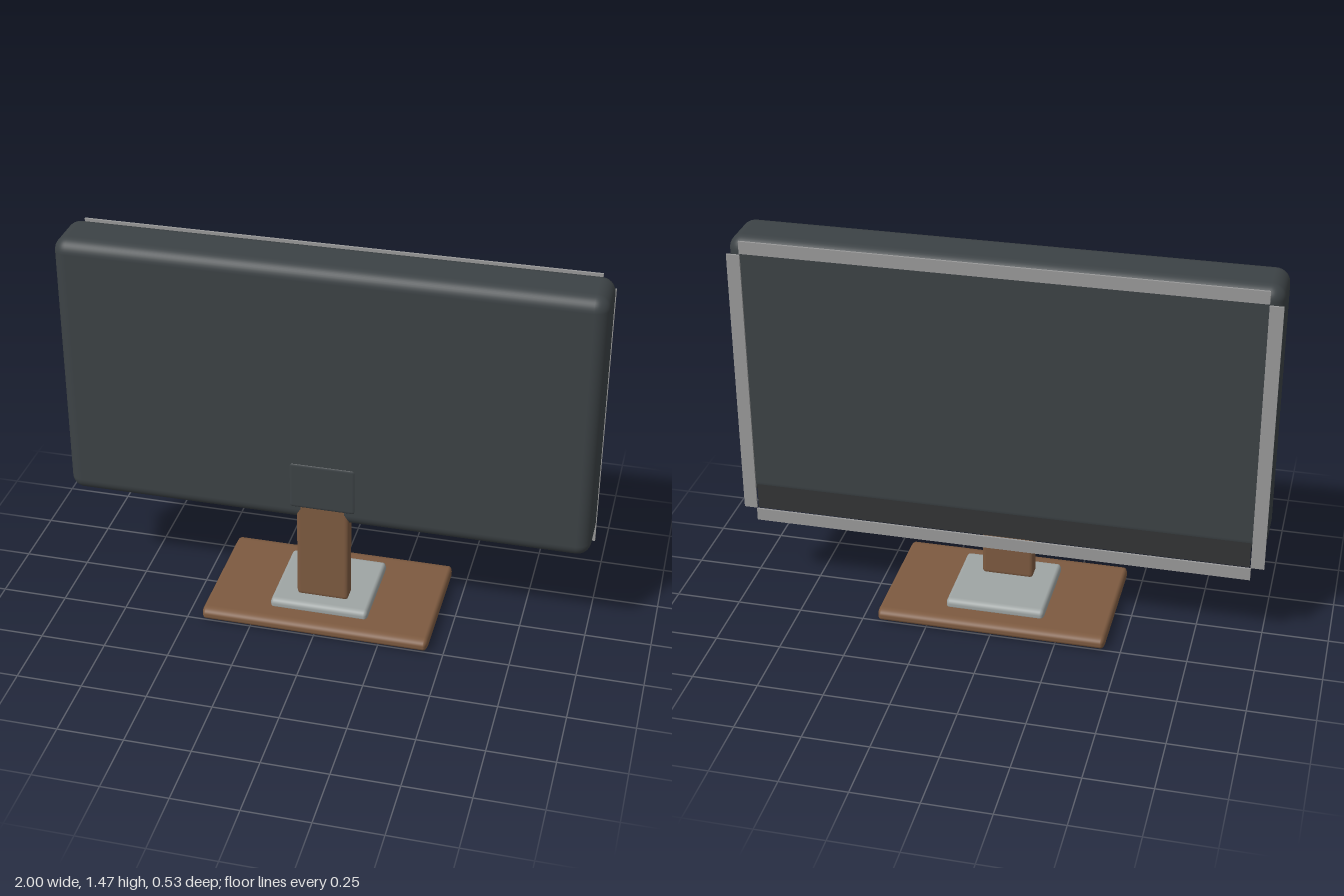
import * as THREE from 'three';
import { RoundedBoxGeometry } from 'three/addons/geometries/RoundedBoxGeometry.js';

const material = (color) => new THREE.MeshStandardMaterial({ color });

// Box from min/max corners; optional rounding radius per axis
function block(name, mat, min, max, round) {
  const [w, h, d] = max.map((v, i) => v - min[i]);
  let geometry;
  if (round) {
    const [rx, ry, rz] = round;
    geometry = new RoundedBoxGeometry(w / rx, h / ry, d / rz, 5, 1).scale(rx, ry, rz);
  } else {
    geometry = new THREE.BoxGeometry(w, h, d);
  }
  const mesh = new THREE.Mesh(geometry, mat);
  mesh.name = name;
  mesh.position.set(...max.map((v, i) => (v + min[i]) / 2));
  return mesh;
}

export function createModel() {
  const model = new THREE.Group();
  model.name = 'monitor';

  const shell = material(0x3c4245);
  const black = material(0x323435);
  const rubber = material(0x222324);
  const wood = material(0x7d5a40);
  const metal = material(0x9fa5a4);
  const trim = material(0x999999);

  // Stand
  const stand = new THREE.Group();
  stand.name = 'stand';
  stand.add(
    block('basePlate', wood, [-0.44, 0.004, -0.265], [0.44, 0.055, 0.265], [0.016, 0.022, 0.035]),
    block('rubberFoot', rubber, [-0.42, 0, -0.235], [0.42, 0.012, 0.235]),
    block('standCollar', metal, [-0.19, 0.04, -0.178], [0.19, 0.086, 0.178], [0.015, 0.02, 0.022]),
    block('neck', wood, [-0.1, 0.078, 0.046], [0.1, 0.6, 0.111], [0.016, 0.02, 0.012]),
  );

  // Housing with the neck mount plate on its outer face
  const housing = new THREE.Group();
  housing.name = 'housing';
  housing.add(
    block('shell', shell, [-1, 0.418, -0.113], [1, 1.474, 0.111], [0.052, 0.052, 0.052]),
    block('mountPlate', shell, [-0.125, 0.48, 0.09], [0.125, 0.67, 0.114], [0.012, 0.012, 0.006]),
  );

  // Display panel and its four trim strips
  const display = new THREE.Group();
  display.name = 'display';
  display.add(
    block('screen', black, [-0.945, 0.356, -0.1118], [0.945, 1.42, -0.1105]),
    block('topTrim', trim, [-0.95, 1.418, -0.12], [0.95, 1.466, -0.112]),
    block('bottomTrim', trim, [-0.95, 0.305, -0.12], [0.95, 0.354, -0.112]),
  );
  for (const side of [-1, 1]) {
    const strip = block('sideTrim', trim, [-0.025, 0.358, -0.12], [0.025, 1.412, -0.112]);
    strip.name = side > 0 ? 'leftTrim' : 'rightTrim';
    strip.position.x = side * 0.974;
    display.add(strip);
  }

  model.add(stand, housing, display);
  return model;
}
